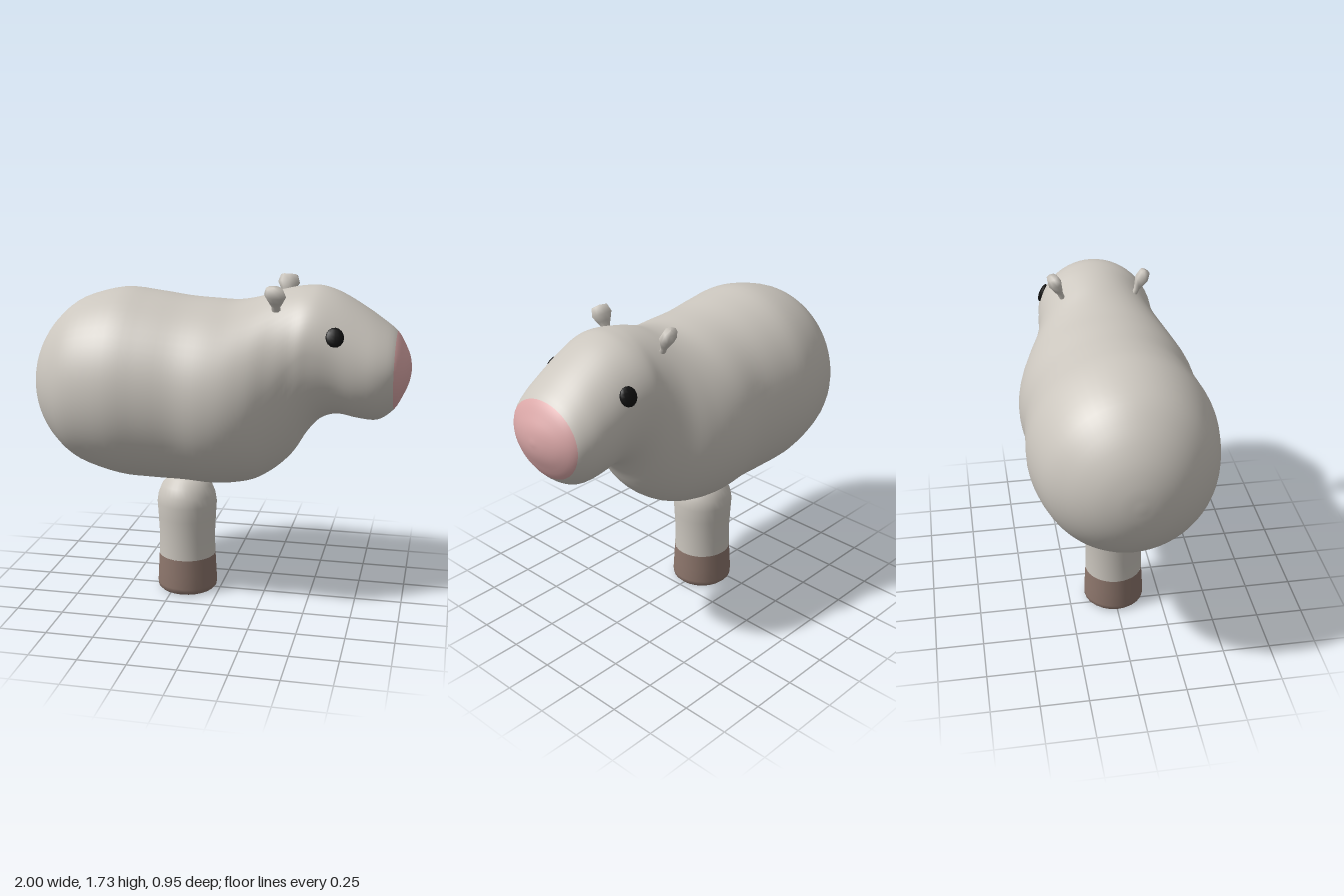
import * as THREE from 'three';
import { mergeVertices } from 'three/addons/utils/BufferGeometryUtils.js';

const material = (name, color, extra = {}) => {
  const m = new THREE.MeshStandardMaterial({ color, ...extra });
  m.name = name;
  return m;
};

// Body stations along the animal: x, bottom, top, half width, height of widest point
const STATIONS = [
  [-1.0, 1.155, 1.155, 0, 1.155],
  [-0.988, 1.045, 1.265, 0.105, 1.155],
  [-0.945, 0.925, 1.385, 0.22, 1.155],
  [-0.86, 0.812, 1.505, 0.33, 1.155],
  [-0.73, 0.718, 1.605, 0.422, 1.155],
  [-0.52, 0.658, 1.663, 0.473, 1.155],
  [-0.34, 0.646, 1.65, 0.467, 1.15],
  [-0.17, 0.643, 1.628, 0.456, 1.14],
  [-0.02, 0.636, 1.619, 0.467, 1.13],
  [0.1, 0.645, 1.616, 0.456, 1.13],
  [0.21, 0.672, 1.637, 0.418, 1.15],
  [0.31, 0.733, 1.672, 0.36, 1.22],
  [0.4, 0.822, 1.695, 0.318, 1.33],
  [0.47, 0.935, 1.704, 0.308, 1.4],
  [0.54, 1.015, 1.703, 0.3, 1.4],
  [0.63, 1.047, 1.673, 0.289, 1.37],
  [0.74, 1.03, 1.612, 0.283, 1.32],
  [0.84, 1.027, 1.545, 0.268, 1.3],
  [0.92, 1.085, 1.482, 0.228, 1.295],
  [0.965, 1.165, 1.41, 0.16, 1.29],
  [0.99, 1.228, 1.354, 0.078, 1.29],
  [1.0, 1.29, 1.29, 0, 1.29],
];
const NOSE_START = 18; // station where the pink muzzle begins

// Egg-shaped rings lofted through the stations, the last rings forming the nose
function bodyGeometry() {
  const curve = (f) => new THREE.CatmullRomCurve3(
    STATIONS.map((s) => new THREE.Vector3(...f(s))), false, 'catmullrom', 0.5);
  const profile = curve((s) => [s[0], s[1], s[2]]);
  const sides = curve((s) => [s[3], s[4], 0]);
  const sub = 4, around = 56, rings = (STATIONS.length - 1) * sub;
  const pos = [], index = [];
  for (let i = 0; i <= rings; i++) {
    const p = profile.getPoint(i / rings), q = sides.getPoint(i / rings);
    for (let j = 0; j < around; j++) {
      const a = (j / around) * Math.PI * 2, s = Math.sin(a);
      const h = s > 0 ? p.z - q.y : q.y - p.y;
      pos.push(p.x, q.y + h * s, q.x * Math.cos(a));
    }
  }
  for (let i = 0; i < rings; i++) {
    for (let j = 0; j < around; j++) {
      const a = i * around + j, b = i * around + (j + 1) % around;
      index.push(a, a + around, b + around, a, b + around, b);
    }
  }
  let g = new THREE.BufferGeometry();
  g.setAttribute('position', new THREE.Float32BufferAttribute(pos, 3));
  g.setIndex(index);
  g = mergeVertices(g);
  g.computeVertexNormals();
  const split = NOSE_START * sub * around * 6;
  g.addGroup(0, split, 0);
  g.addGroup(split, index.length - split, 1);
  return g;
}

const lathe = (points, sides) =>
  new THREE.LatheGeometry(points.map((p) => new THREE.Vector2(...p)), sides);

export function createModel() {
  const group = new THREE.Group();
  const skin = material('skin grey', 0xcbc6be);
  const pink = material('nose pink', 0xdba8a8);
  const brown = material('hoof brown', 0x8d766c);
  const black = material('eye black', 0x111111);

  const add = (name, geometry, mat, parent = group) => {
    const mesh = new THREE.Mesh(geometry, mat);
    mesh.name = name;
    parent.add(mesh);
    return mesh;
  };

  add('bodyAndNose', bodyGeometry(), [skin, pink]);

  // Single central leg with a domed top and a brown hoof
  const leg = new THREE.Group();
  leg.name = 'leg';
  leg.position.set(-0.185, 0, 0);
  group.add(leg);
  add('legColumn', lathe([[0.155, 0.2], [0.152, 0.3], [0.158, 0.42], [0.163, 0.5], [0.155, 0.55],
    [0.135, 0.6], [0.1, 0.64], [0.05, 0.662], [0, 0.667]], 32), skin, leg);
  add('hoof', lathe([[0.148, 0], [0.162, 0.014], [0.164, 0.035], [0.16, 0.11], [0.155, 0.2]], 24), brown, leg);
  const sole = add('hoofSole', new THREE.CircleGeometry(0.148, 24), brown, leg);
  sole.rotation.x = Math.PI / 2;

  for (const side of [1, -1]) {
    const name = side > 0 ? 'left' : 'right';

    // Small flattened ears on narrow stems, leaning outward
    const ear = add(name + 'Ear', lathe([[0.022, -0.03], [0.024, 0.03], [0.04, 0.06],
      [0.058, 0.095], [0.045, 0.135], [0, 0.142]], 8), skin);
    ear.position.set(0.325, 1.595, side * 0.19);
    ear.rotation.set(side * 0.42, side * -0.2, 0);
    ear.scale.z = 0.62;

    // Flattened eyes lying against the sides of the head
    const eye = add(name + 'Eye', new THREE.SphereGeometry(1, 12, 8), black);
    eye.scale.set(0.046, 0.05, 0.018);
    eye.position.set(0.63, 1.492, side * 0.267);
    eye.rotation.set(side * -0.4, side * 0.25, 0);
  }
  return group;
}
